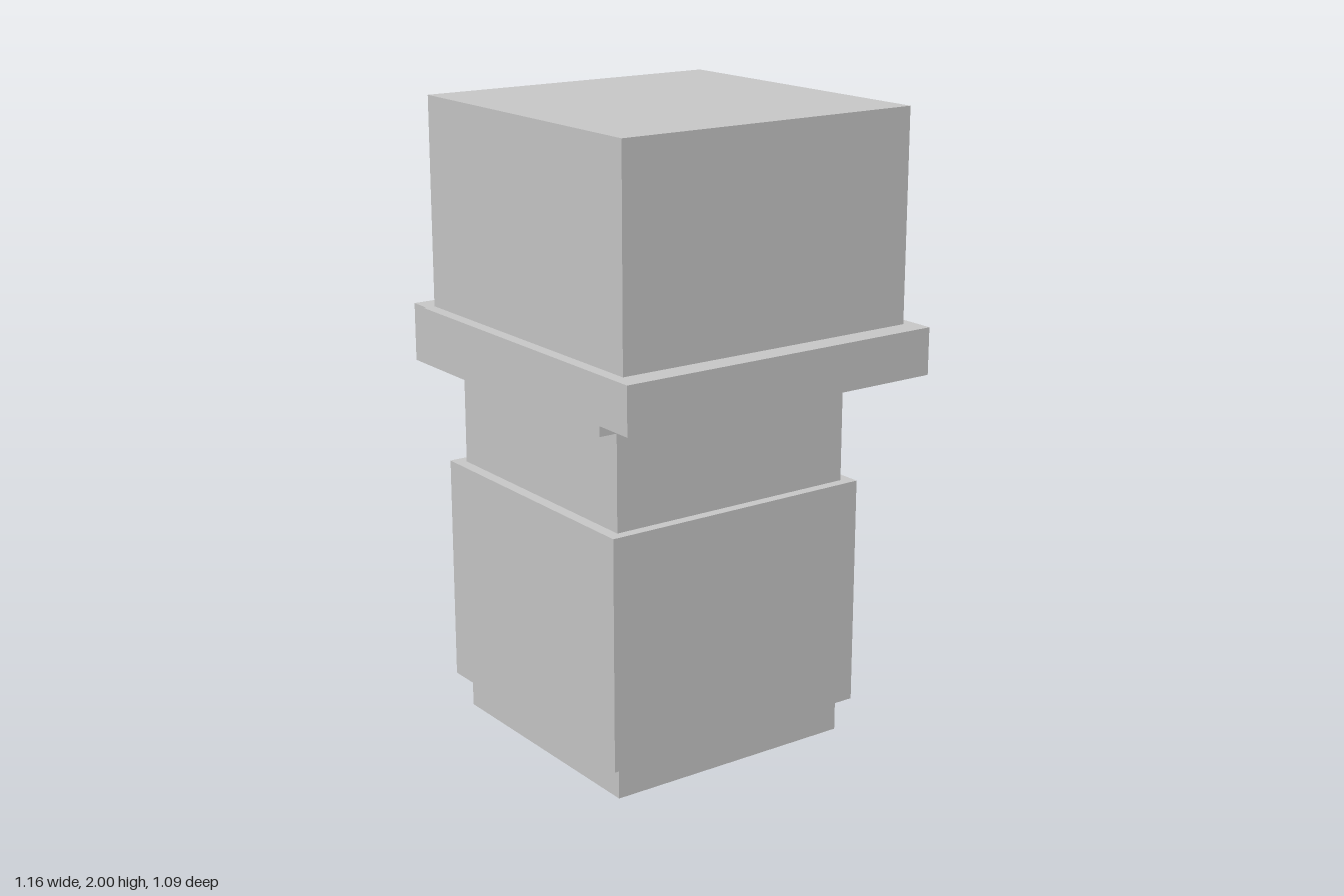
import * as THREE from 'three';

export function createModel() {
  const group = new THREE.Group();
  const grey = new THREE.MeshStandardMaterial({ color: 0xc8c8c8 });
  grey.name = 'light grey';

  // Adds a box spanning the given [min, max] range on each axis
  function block(name, [x0, x1], [y0, y1], [z0, z1]) {
    const mesh = new THREE.Mesh(new THREE.BoxGeometry(x1 - x0, y1 - y0, z1 - z0), grey);
    mesh.name = name;
    mesh.position.set((x0 + x1) / 2, (y0 + y1) / 2, (z0 + z1) / 2);
    group.add(mesh);
  }

  // Inner post, seen as the foot and the neck
  block('post', [-0.492, 0.347], [0, 1.2], [-0.417, 0.419]);
  // Wide sleeve around the post
  block('sleeve', [-0.53, 0.38], [0.108, 0.836], [-0.454, 0.456]);
  // Two overlapping collar slabs, shifted to opposite sides, flush on top
  block('lowerCollar', [-0.582, 0.436], [1.168, 1.35], [-0.539, 0.537]);
  block('upperCollar', [-0.509, 0.582], [1.204, 1.35], [-0.546, 0.546]);
  // Large block on top
  block('cap', [-0.509, 0.508], [1.204, 2], [-0.509, 0.508]);

  return group;
}
